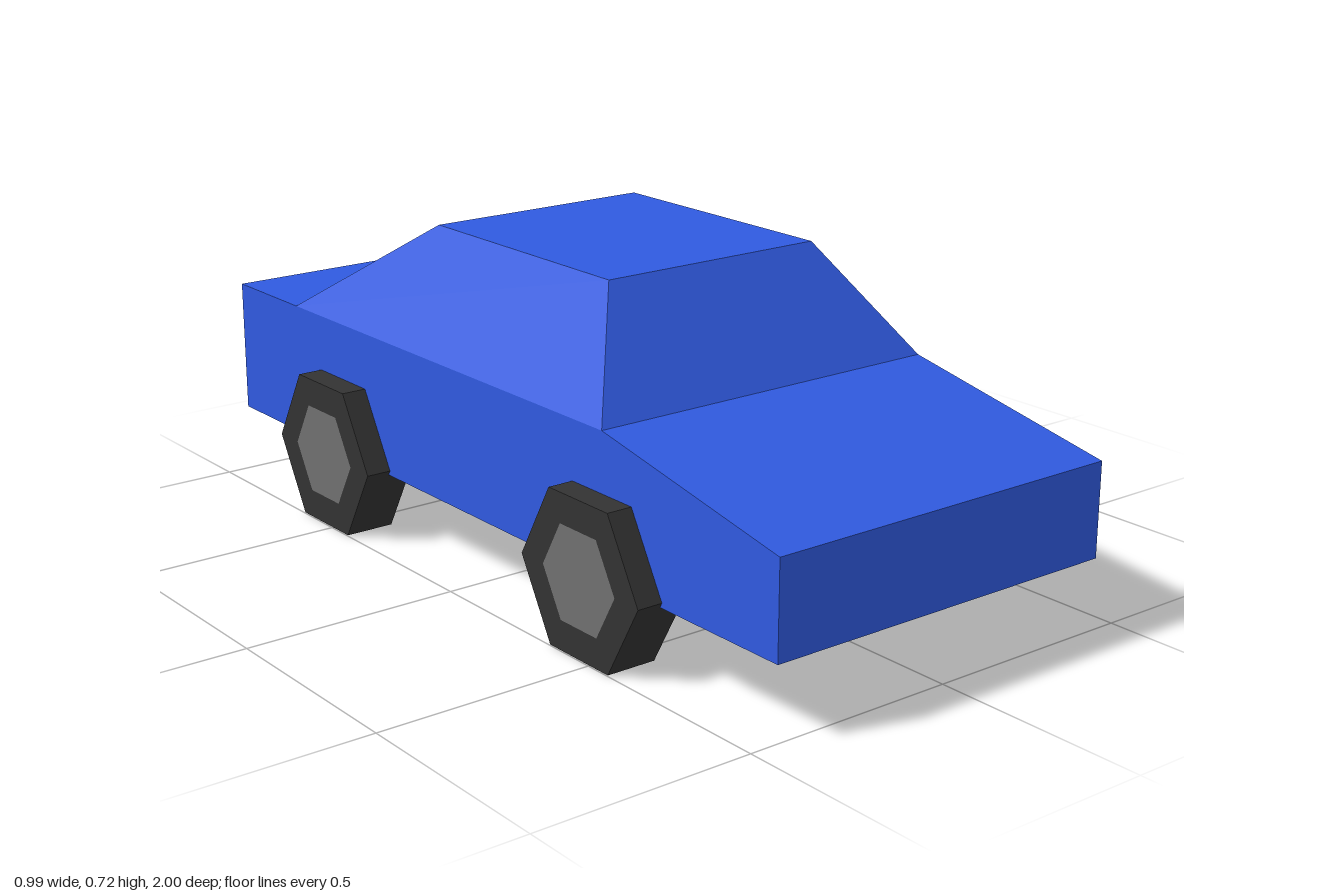
import * as THREE from 'three';

const paint = new THREE.MeshStandardMaterial({ color: 0x305ae0, flatShading: true });
const rubber = new THREE.MeshStandardMaterial({ color: 0x333333, flatShading: true });
const metal = new THREE.MeshStandardMaterial({ color: 0x707070, flatShading: true });

function part(name, geometry, material) {
  const mesh = new THREE.Mesh(geometry, material);
  mesh.name = name;
  return mesh;
}

// Extrudes a side profile drawn in (z, y) across the width, centred on x = 0
function extrudeAcross(shape, width) {
  return new THREE.ExtrudeGeometry(shape, { depth: width, bevelEnabled: false })
    .translate(0, 0, -width / 2)
    .rotateY(-Math.PI / 2);
}

// Hexagon with points to the front and back, flats at top and bottom
function hexagon(radius, halfHeight) {
  const points = [];
  for (let i = 0; i < 6; i++) {
    const a = (i * Math.PI) / 3;
    points.push(new THREE.Vector2(radius * Math.cos(a), (halfHeight * Math.sin(a)) / Math.sin(Math.PI / 3)));
  }
  return points;
}

function createWheel(name) {
  const wheel = new THREE.Group();
  wheel.name = name;
  const width = 0.118;
  const tyre = new THREE.Shape(hexagon(0.195, 0.172));
  tyre.holes.push(new THREE.Path(hexagon(0.12, 0.105).reverse()));
  wheel.add(part('tyre', extrudeAcross(tyre, width), rubber));
  wheel.add(part('hub', extrudeAcross(new THREE.Shape(hexagon(0.12, 0.105)), width), metal));
  return wheel;
}

// Tapered cabin: a box whose top corners are pulled inwards
function createCabin() {
  const geometry = new THREE.BoxGeometry(1, 1, 1);
  const p = geometry.attributes.position;
  for (let i = 0; i < p.count; i++) {
    const top = p.getY(i) > 0;
    const x = Math.sign(p.getX(i)) * (top ? 0.279 : 0.4375);
    const front = p.getZ(i) > 0;
    const z = top ? (front ? 0.282 : -0.35) : (front ? 0.465 : -0.735);
    p.setXYZ(i, x, top ? 0.722 : 0.477, z);
  }
  geometry.computeVertexNormals();
  return part('cabin', geometry, paint);
}

export function createModel() {
  const car = new THREE.Group();
  car.name = 'car';

  // Lower body with a sloping bonnet and flat rear deck
  const profile = new THREE.Shape(
    [[-1, 0.161], [1, 0.161], [1, 0.374], [0.465, 0.477], [-1, 0.477]].map(([z, y]) => new THREE.Vector2(z, y))
  );
  car.add(part('body', extrudeAcross(profile, 0.875), paint));
  car.add(createCabin());

  // Four wheels
  for (const [end, z] of [['front', 0.463], ['rear', -0.531]]) {
    for (const [side, sign] of [['Left', 1], ['Right', -1]]) {
      const wheel = createWheel(`${end}${side}Wheel`);
      wheel.position.set(sign * 0.438, 0.172, z);
      car.add(wheel);
    }
  }
  return car;
}
